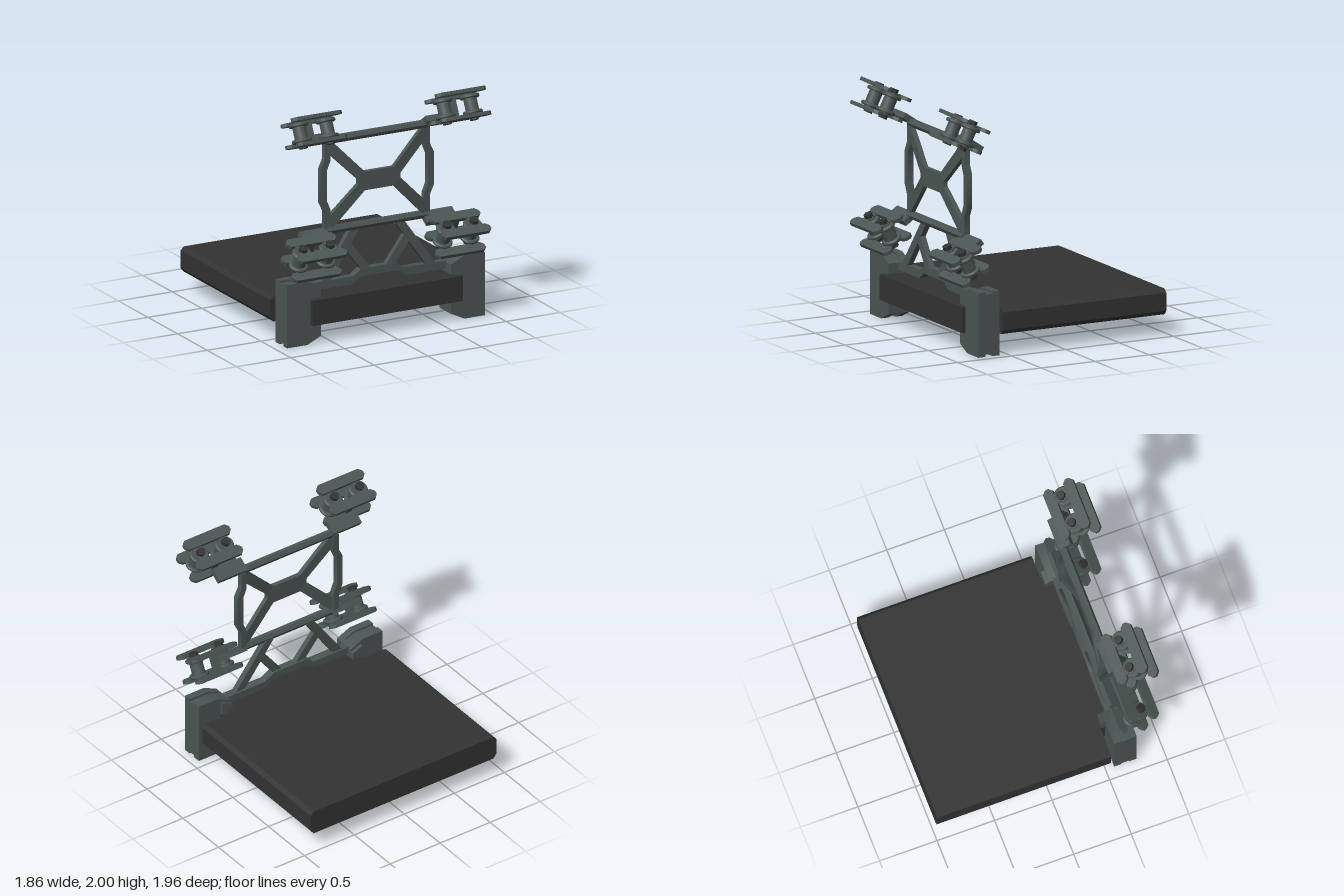
import * as THREE from 'three';
import { toCreasedNormals } from 'three/addons/utils/BufferGeometryUtils.js';

const steel = new THREE.MeshStandardMaterial({ color: 0x4b5553 });
steel.name = 'grey green steel';
const dark = new THREE.MeshStandardMaterial({ color: 0x333333 });
dark.name = 'dark charcoal';

function add(parent, name, geo, mat = steel) {
  const mesh = new THREE.Mesh(toCreasedNormals(geo, 0.6), mat);
  mesh.name = name;
  parent.add(mesh);
  return mesh;
}

// Extrude an outline of [x, y] points from z0 to z1
function prism(points, z0, z1) {
  const shape = new THREE.Shape(points.map(([x, y]) => new THREE.Vector2(x, y)));
  const geo = new THREE.ExtrudeGeometry(shape, { depth: z1 - z0, bevelEnabled: false });
  return geo.translate(0, 0, z0);
}

// Move every vertex in z by a rule of x and y
function shiftZ(geo, rule) {
  const p = geo.attributes.position;
  for (let i = 0; i < p.count; i++) p.setZ(i, p.getZ(i) + rule(p.getX(i), p.getY(i)));
  return geo;
}

const mirrorX = (pts, s) => pts.map(([x, y]) => [x * s, y]);

// Two spools held between link plates, tilted about x; s = 1 upper, -1 lower
function makeRoller(s) {
  const g = new THREE.Group();
  g.name = s > 0 ? 'upperRoller' : 'lowerRoller';
  const L = 0.228, W = 0.046, c = 0.03;
  const plate = [[-L, -W + c], [-L + c, -W], [L - c, -W], [L, -W + c],
    [L, W - c], [L - c, W], [-L + c, W], [-L, W - c]];
  for (const v of [-1, 1]) {
    for (const u of [-1, 1]) {
      const geo = prism(plate, -0.015, 0.015).rotateX(Math.PI / 2);
      add(g, 'linkPlate', geo).position.set(0, v * (u > 0 ? 0.104 : 0.09), u * 0.1);
    }
  }
  for (const x of [-0.125, 0.125]) {
    // spool turned as one profile
    const profile = [[0, -0.092], [0.05, -0.092], [0.05, -0.082], [0.074, -0.082], [0.083, -0.073],
      [0.083, -0.058], [0.074, -0.05], [0.056, -0.05], [0.056, 0.05], [0.074, 0.05], [0.083, 0.058],
      [0.083, 0.073], [0.074, 0.082], [0.05, 0.082], [0.05, 0.092], [0, 0.092]]
      .map(([r, y]) => new THREE.Vector2(r, y));
    add(g, 'spool', new THREE.LatheGeometry(profile, 20)).position.x = x;
    for (const v of [-1, 1]) {
      const strap = [[-0.055, -0.1], [-0.03, 0], [-0.055, 0.1], [0.055, 0.1], [0.03, 0], [0.055, -0.1]];
      add(g, 'strap', prism(strap, -0.007, 0.007).rotateX(Math.PI / 2)).position.set(x, v * 0.094, 0);
      add(g, 'boltHead', new THREE.CylinderGeometry(0.038, 0.038, 0.035, 8), dark)
        .position.set(x, v * 0.113, 0);
    }
  }
  add(g, 'post', new THREE.BoxGeometry(0.06, 0.17, 0.045)).position.z = -0.085;
  g.rotation.x = -s * 0.46;
  return g;
}

export function createModel() {
  const model = new THREE.Group();
  model.name = 'slabWithRollerFrame';

  // Slab with chamfered sides and a narrower front
  const slab = [[-0.905, 0.165], [0.89, 0.165], [0.92, 0.2], [0.92, 0.35],
    [0.89, 0.38], [-0.905, 0.38], [-0.935, 0.35], [-0.935, 0.2]];
  add(model, 'slab', prism(slab, -0.978, 0.537), dark);
  add(model, 'slabFront', new THREE.BoxGeometry(1.395, 0.215, 0.28), dark).position.set(0.0125, 0.2725, 0.662);

  // Clamping brackets on both sides, with a groove around the middle
  const bracket = [[0.917, 0.54], [0.73, 0.54], [0.602, 0.48], [0.602, 0.395], [0.7, 0.382],
    [0.7, 0.163], [0.602, 0.152], [0.602, 0.06], [0.73, 0], [0.917, 0]];
  const lip = [[0.7, 0.5], [0.602, 0.46], [0.602, 0.4], [0.7, 0.385]];
  for (const s of [1, -1]) {
    const place = (pts) => mirrorX(pts, s).map(([x, y]) => [x + 0.012, y]);
    const inset = bracket.map(([x, y]) => [x, 0.27 + (y - 0.27) * (Math.abs(y - 0.27) > 0.25 ? 0.93 : 1)]);
    const layers = [[0.575, 0.64, bracket], [0.64, 0.705, inset], [0.705, 0.77, bracket]];
    for (const [z0, z1, pts] of layers) add(model, 'sideBracket', prism(place(pts), z0, z1));
    add(model, 'upperLip', prism(place(lip), 0.545, 0.575));
    add(model, 'lowerLip', prism(place(lip.map(([x, y]) => [x, 0.545 - y])), 0.545, 0.575));
  }

  // Cranked bottom beam
  const beam = [[-0.6, 0.42], [-0.245, 0.42], [-0.17, 0.475], [0.17, 0.475], [0.245, 0.42], [0.63, 0.42],
    [0.63, 0.487], [0.24, 0.487], [0.155, 0.54], [-0.165, 0.54], [-0.24, 0.487], [-0.6, 0.487]];
  add(model, 'bottomBeam', prism(beam, 0.61, 0.675));

  const frame = new THREE.Group();
  frame.name = 'frame';
  frame.position.x = -0.005;
  model.add(frame);

  // Leaning struts between the beam and the lower bar
  const longStrut = [[0.53, 0.487], [0.44, 0.487], [0.16, 0.89], [0.245, 0.89]];
  const shortStrut = [[0.265, 0.79], [0.3, 0.72], [0.15, 0.525], [0.06, 0.525]];
  const lean = (x, y) => -0.05 * (y - 0.5);
  for (const s of [1, -1]) {
    add(frame, 'longStrut', shiftZ(prism(mirrorX(longStrut, s), 0.625, 0.675), lean));
    add(frame, 'shortStrut', shiftZ(prism(mirrorX(shortStrut, s), 0.627, 0.673), lean));
  }

  // Horizontal six-sided bars
  for (const y of [0.905, 1.675]) {
    add(frame, 'crossBar', new THREE.CylinderGeometry(0.035, 0.035, 0.93, 6).rotateZ(Math.PI / 2))
      .position.set(0, y, 0.638);
  }

  // Cross brace that bows forward to its middle plate, and cranked side rails
  const brace = new THREE.Group();
  brace.name = 'crossBrace';
  brace.position.y = 1.29;
  frame.add(brace);
  const bow = (x) => 0.035 * Math.min(1, Math.max(0, (0.47 - Math.abs(x)) / 0.275));
  const centre = [[-0.195, -0.02], [-0.135, -0.08], [0.135, -0.08], [0.195, -0.02],
    [0.195, 0.02], [0.135, 0.08], [-0.135, 0.08], [-0.195, 0.02]];
  add(brace, 'middlePlate', prism(centre, 0.65, 0.69));
  const arm = [[0.135, 0.08], [0.195, 0.02], [0.47, 0.29], [0.47, 0.37], [0.42, 0.37]];
  const rail = [[0.435, 0.37], [0.435, 0.21], [0.468, 0.13], [0.468, -0.13], [0.435, -0.21], [0.435, -0.37],
    [0.487, -0.37], [0.487, -0.22], [0.525, -0.14], [0.525, 0.14], [0.487, 0.22], [0.487, 0.37]];
  for (const s of [1, -1]) {
    for (const t of [1, -1]) {
      const pts = mirrorX(arm, s).map(([x, y]) => [x, y * t]);
      add(brace, 'braceArm', shiftZ(prism(pts, 0.615, 0.655), bow));
    }
    add(brace, 'sideRail', prism(mirrorX(rail, s), 0.605, 0.655));
  }

  // Rollers at the four corners, each on a slanted arm from its bar end
  for (const s of [1, -1]) {
    for (const t of [1, -1]) {
      const roller = makeRoller(t);
      roller.position.set(s * 0.668, 1.29 + t * 0.54, 0.795);
      frame.add(roller);
      const mount = add(frame, 'rollerArm', new THREE.BoxGeometry(0.28, 0.05, 0.12));
      mount.position.set(s * 0.57, 1.29 + t * 0.417, 0.658);
      mount.rotation.x = -t * 0.6;
    }
  }
  return model;
}
